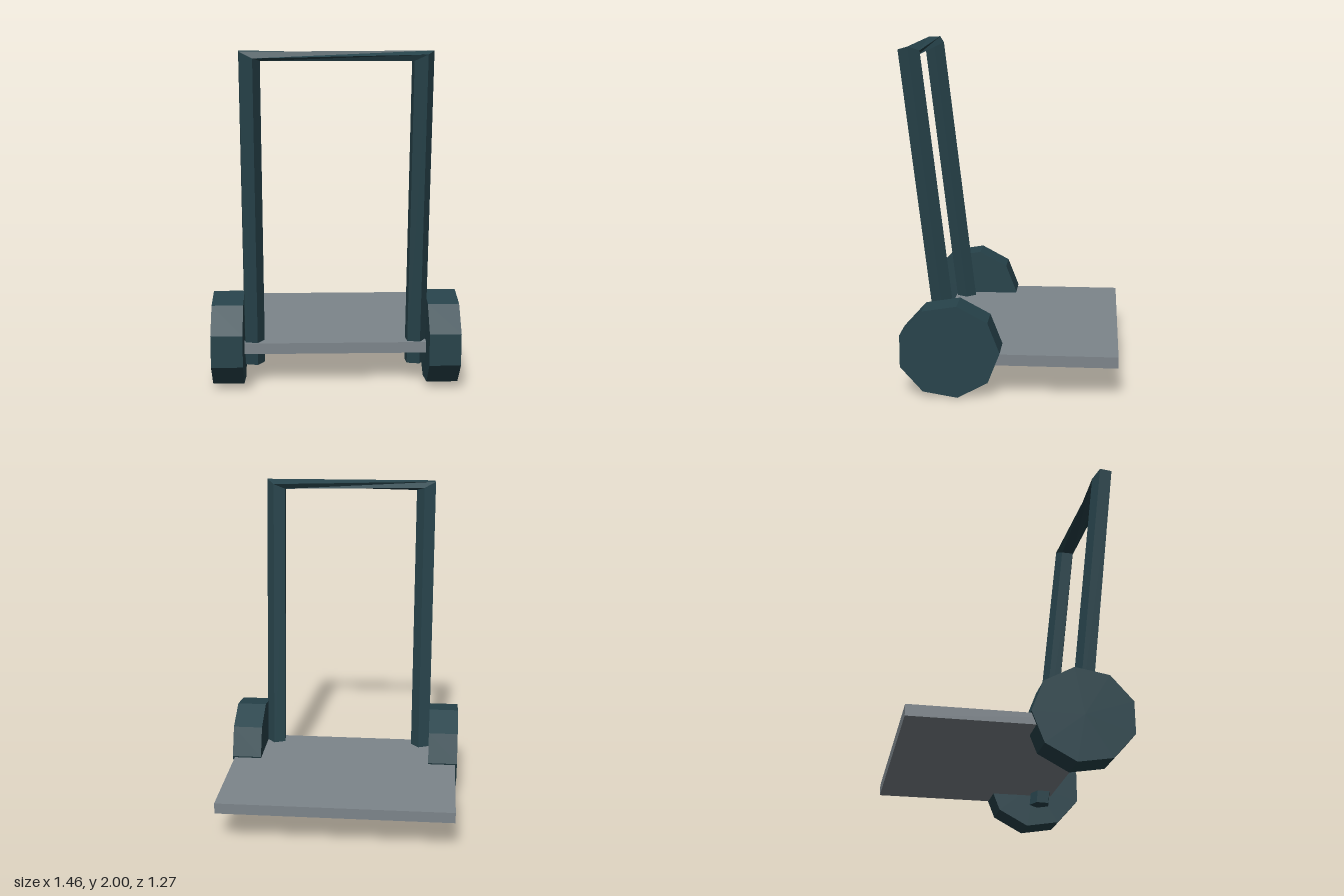
import * as THREE from 'three';

const darkPaint = new THREE.MeshStandardMaterial({ color: 0x27434b });
darkPaint.name = 'dark teal';
const greyPaint = new THREE.MeshStandardMaterial({ color: 0x7d858b });
greyPaint.name = 'grey deck';

function part(name, geometry, material) {
  const mesh = new THREE.Mesh(geometry, material);
  mesh.name = name;
  return mesh;
}

// Five-sided ring around a post; lean follows the backward tilt, slope gives the corner mitre
function ring(cx, y, slope) {
  return Array.from({ length: 5 }, (_, k) => {
    const a = THREE.MathUtils.degToRad(67 + 72 * k);
    const dx = 0.065 * Math.cos(a);
    const py = y + slope * dx;
    const cz = 0.357 + 0.116 * (py - 0.12);
    return new THREE.Vector3(cx + dx, py, cz + 0.065 * Math.sin(a));
  });
}

// Flat-shaded loft through rings, closed at both ends
function loft(rings) {
  const pts = [];
  const tri = (a, b, c) => pts.push(a, b, c);
  const n = rings[0].length;
  for (let r = 0; r < rings.length - 1; r++) {
    for (let k = 0; k < n; k++) {
      const j = (k + 1) % n;
      const lo = rings[r], hi = rings[r + 1];
      tri(lo[k], hi[k], lo[j]);
      tri(lo[j], hi[k], hi[j]);
    }
  }
  const first = rings[0], last = rings[rings.length - 1];
  for (let k = 1; k < n - 1; k++) {
    tri(first[0], first[k], first[k + 1]);
    tri(last[0], last[k + 1], last[k]);
  }
  const g = new THREE.BufferGeometry().setFromPoints(pts);
  g.computeVertexNormals();
  return g;
}

export function createModel() {
  const cart = new THREE.Group();
  cart.name = 'handCart';

  // Flat load deck
  const deck = part('deck', new THREE.BoxGeometry(1.43, 0.066, 1.078), greyPaint);
  deck.position.set(0, 0.232, -0.098);
  cart.add(deck);

  // Handle: two leaning posts joined by a twisted crossbar
  const handle = loft([
    ring(-0.488, 0.122, 0),
    ring(-0.488, 1.974, -0.48),
    ring(0.48, 1.969, 0.48).reverse(),
    ring(0.48, 0.122, 0).reverse(),
  ]);
  cart.add(part('handle', handle, darkPaint));

  // Nine-sided wheels
  const indexed = new THREE.CylinderGeometry(1, 1, 0.185, 9, 1, false, Math.PI);
  indexed.rotateZ(Math.PI / 2).scale(1, 0.278, 0.298);
  const wheelGeometry = indexed.toNonIndexed();
  wheelGeometry.computeVertexNormals();
  for (const [name, side] of [['leftWheel', 1], ['rightWheel', -1]]) {
    const wheel = part(name, wheelGeometry, darkPaint);
    wheel.position.set(side * 0.635, 0.274, 0.338);
    cart.add(wheel);
  }

  return cart;
}
